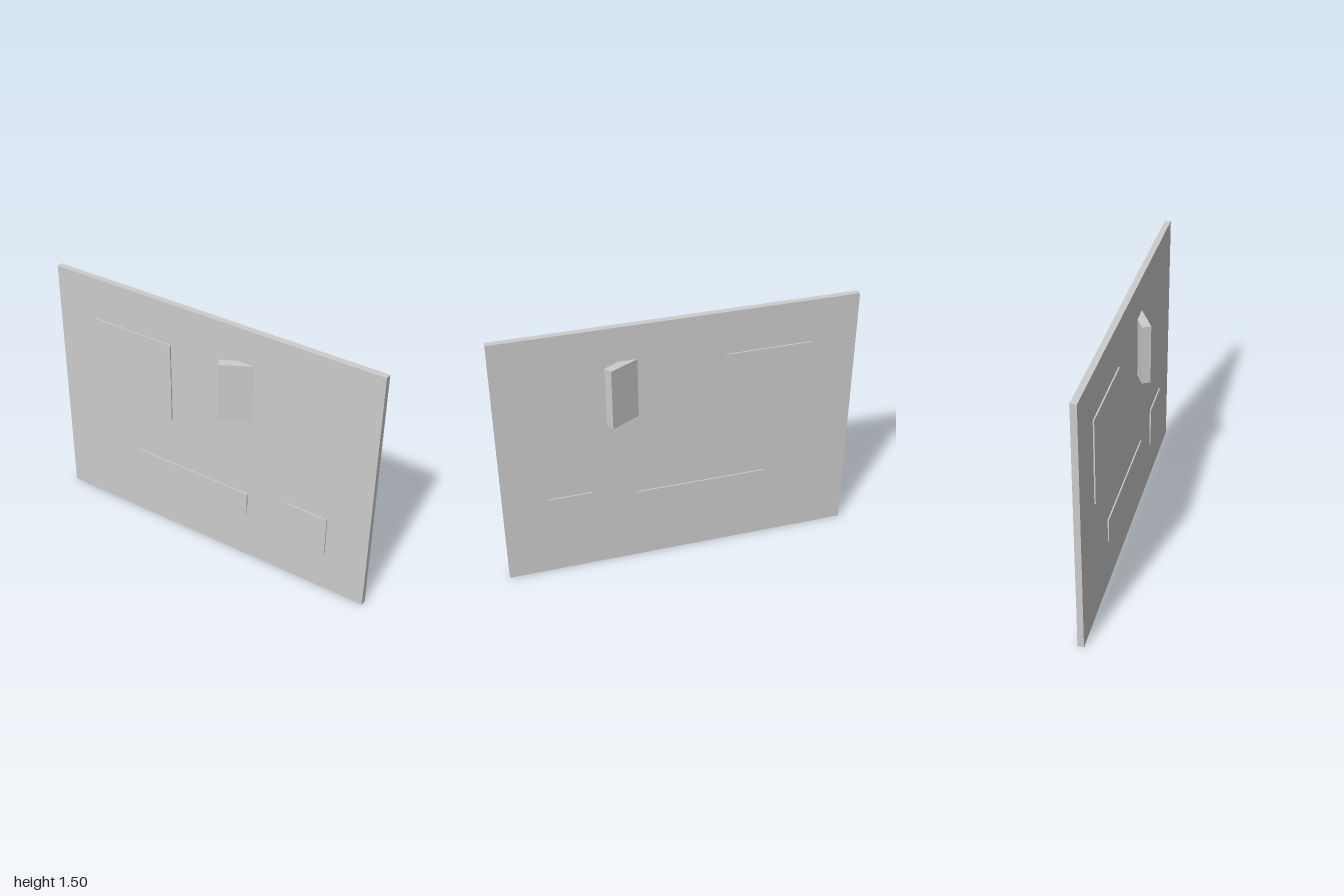
import * as THREE from 'three';

export function createModel() {
  const model = new THREE.Group();
  const grey = new THREE.MeshStandardMaterial({ color: 0xcccccc });
  grey.name = 'light grey';

  // Box placed by its centre in x and its lower and upper edges in y
  function block(name, width, depth, x, bottom, top) {
    const mesh = new THREE.Mesh(new THREE.BoxGeometry(width, top - bottom, depth), grey);
    mesh.name = name;
    mesh.position.set(x, (bottom + top) / 2, 0);
    model.add(mesh);
    return mesh;
  }

  // Thin upright panel
  block('panel', 2, 0.035, 0, 0, 1.5);

  // Plates that pass through the panel and stand proud on both sides
  block('largeSquarePlate', 0.5, 0.05, -0.5, 0.75, 1.25);
  block('longPlate', 0.75, 0.05, -0.125, 0.3, 0.45);
  block('smallSquarePlate', 0.25, 0.05, 0.625, 0.25, 0.5);

  // Flap turned about its upright axis, half open through the panel
  block('pivotingFlap', 0.35, 0.05, 0.25, 0.95, 1.3).rotation.y = 0.5;

  return model;
}
